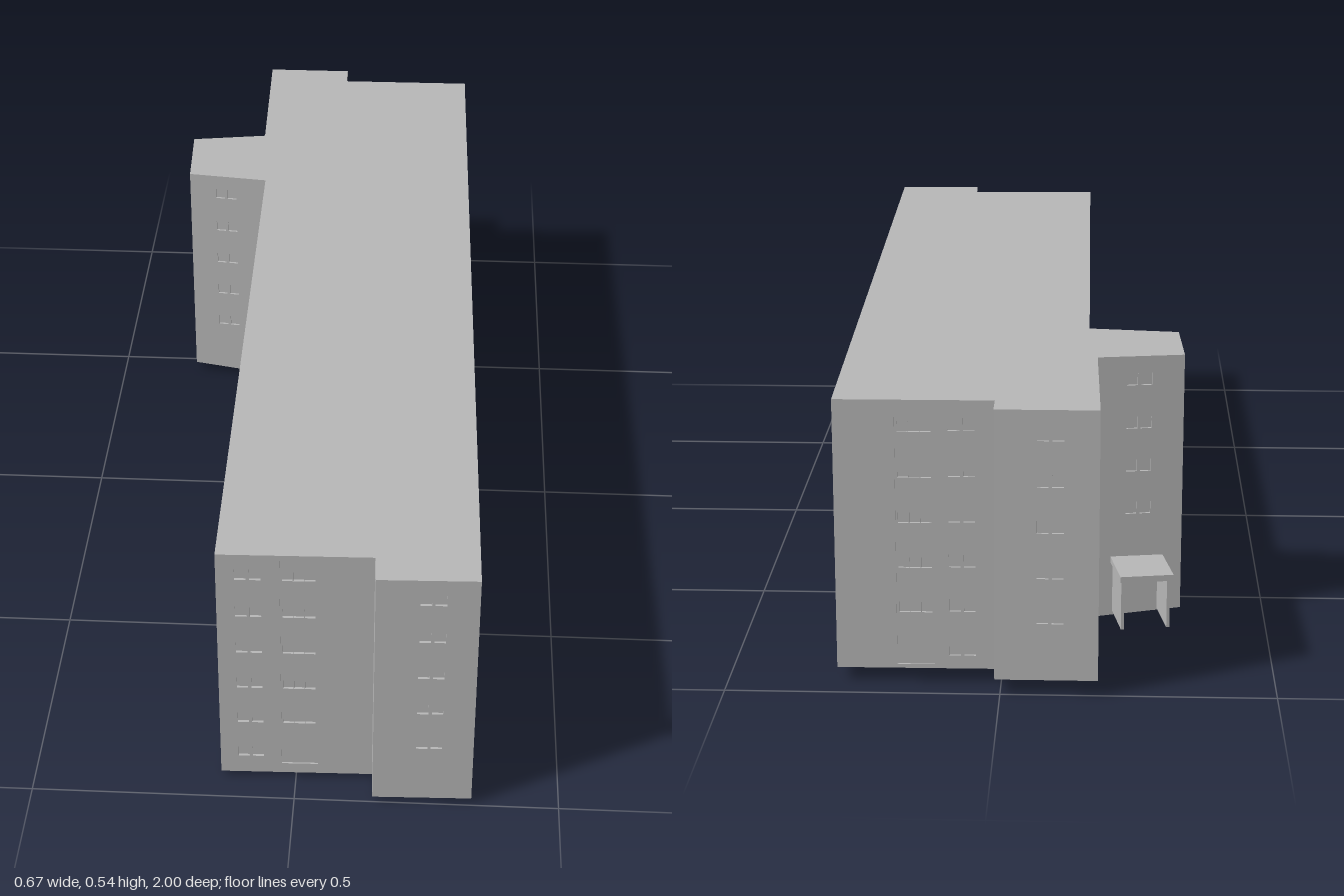
import * as THREE from 'three';
import { mergeGeometries } from 'three/addons/utils/BufferGeometryUtils.js';

const TOP = 0.54;      // roof height
const DEPTH = 0.005;   // window recess
const PITCH = 0.0857;  // storey height

// Wall foot follows gently sloping ground
const footY = (x, z) =>
  0.003 + 0.02 * (z - 0.2) ** 2 + (x < -0.19 ? 0.012 * (-x - 0.15) / 0.18 : 0);

// Footprint corners [x, z], counter-clockwise from the front left
const corners = [
  [-0.143, 0.943], [0.145, 0.937], [0.148, 1], [0.335, 0.995], [0.3, -0.947], [0.01, -0.945],
  [0.01, -1], [-0.177, -1], [-0.17, -0.65], [-0.335, -0.624], [-0.328, -0.455], [-0.153, -0.434],
];

// Opening descriptions: c is the world x or z of the centre
const rows = (n, top, pitch = PITCH) => Array.from({ length: n }, (_, i) => top - i * pitch);
const pairs = (c, n, top = 0.495, pitch) =>
  rows(n, top, pitch).flatMap(y => [-0.0135, 0.0135].map(d => ({ c: c + d, y, w: 0.021, h: 0.024 })));
const triples = c =>
  rows(5, 0.49).flatMap(y => [-0.0205, 0, 0.0205].map(d => ({ c: c + d, y, w: 0.0195, h: 0.02 })));
const wide = cols => cols.flatMap(c => rows(6, 0.5).map(y => ({ c, y, w: 0.058, h: 0.042 })));
const spread = (n, from, to) => Array.from({ length: n }, (_, i) => from + (to - from) * i / (n - 1));
const panel = c => ({ c, y: 0.287, w: 0.069, h: 0.5, windows: triples(c) });

// Walls in footprint order
const walls = [
  { name: 'frontWall', axis: 0, open: [...pairs(-0.085, 6), panel(0.0075)] },
  { name: 'frontStep', axis: 1, open: [] },
  { name: 'frontBayWall', axis: 0, open: pairs(0.252, 5) },
  { name: 'leftLongWall', axis: 1, open: [
    ...wide(spread(4, 0.935, 0.645)), ...pairs(0.51, 4, 0.472, 0.0973), ...wide(spread(14, 0.325, -0.893))] },
  { name: 'backWall', axis: 0, open: [...pairs(0.07, 6), panel(0.155)] },
  { name: 'backStep', axis: 1, open: [] },
  { name: 'backBayWall', axis: 0, open: pairs(-0.09, 5) },
  { name: 'rightShortWall', axis: 1, open: wide([-0.93, -0.825, -0.72]) },
  { name: 'towerBackWall', axis: 0, open: pairs(-0.25, 4) },
  { name: 'towerSideWall', axis: 1, open: pairs(-0.54, 5) },
  { name: 'towerFrontWall', axis: 0, open: pairs(-0.245, 5) },
  { name: 'rightLongWall', axis: 1, open: wide(spread(13, 0.89, -0.345)) },
];

function rectPath(u, y, w, h, Type = THREE.Path) {
  return new Type([[-1, -1], [1, -1], [1, 1], [-1, 1]]
    .map(([a, b]) => new THREE.Vector2(u + a * w / 2, y + b * h / 2)));
}

// Box without its outer face, and optionally without its inner face
function recess(u, y, w, h, z, depth, through = false) {
  const g = new THREE.BoxGeometry(w, h, depth);
  const idx = Array.from(g.index.array);
  // flip so that the inner faces look into the opening
  const keep = idx.slice(0, 24).concat(through ? [] : idx.slice(30));
  for (let i = 0; i < keep.length; i += 3) [keep[i], keep[i + 1]] = [keep[i + 1], keep[i]];
  g.setIndex(keep);
  g.clearGroups();
  const n = g.attributes.normal;
  for (let i = 0; i < n.count; i++) n.setXYZ(i, -n.getX(i), -n.getY(i), -n.getZ(i));
  return g.translate(u, y, z - depth / 2);
}

function wallGeometry(a, b, { axis, open }) {
  const dx = b[0] - a[0], dz = b[1] - a[1], len = Math.hypot(dx, dz);
  const toU = c => (c - a[axis]) / (b[axis] - a[axis]) * len;
  const steps = Math.max(1, Math.round(len / 0.15));
  const pts = [new THREE.Vector2(len, TOP), new THREE.Vector2(0, TOP)];
  for (let i = 0; i <= steps; i++) {
    const t = i / steps;
    pts.push(new THREE.Vector2(t * len, footY(a[0] + dx * t, a[1] + dz * t)));
  }
  const shape = new THREE.Shape(pts);
  const parts = [];
  const cut = (host, o, z) => {
    host.holes.push(rectPath(toU(o.c), o.y, o.w, o.h));
    parts.push(recess(toU(o.c), o.y, o.w, o.h, z, o.windows ? 0.003 : DEPTH, !!o.windows));
  };
  for (const o of open) {
    cut(shape, o, 0);
    if (!o.windows) continue;
    // sunken stair panel with its own windows
    const sheet = rectPath(toU(o.c), o.y, o.w, o.h, THREE.Shape);
    o.windows.forEach(w => cut(sheet, w, -0.003));
    parts.push(new THREE.ShapeGeometry(sheet).translate(0, 0, -0.003));
  }
  parts.push(new THREE.ShapeGeometry(shape));
  const dir = new THREE.Vector3(dx / len, 0, dz / len), up = new THREE.Vector3(0, 1, 0);
  const m = new THREE.Matrix4().makeBasis(dir, up, dir.clone().cross(up)).setPosition(a[0], 0, a[1]);
  return mergeGeometries(parts).applyMatrix4(m);
}

export function createModel() {
  const group = new THREE.Group();
  group.name = 'apartmentBlock';
  const concrete = new THREE.MeshStandardMaterial({ color: 0xb8b8b8, side: THREE.DoubleSide });
  concrete.name = 'concrete grey';
  const add = (name, geometry, parent = group) => {
    const mesh = new THREE.Mesh(geometry, concrete);
    mesh.name = name;
    parent.add(mesh);
    return mesh;
  };

  // Outer walls with recessed windows, open underneath
  walls.forEach((w, i) => add(w.name, wallGeometry(corners[i], corners[(i + 1) % corners.length], w)));

  // Flat roof
  const roof = new THREE.Shape(corners.map(([x, z]) => new THREE.Vector2(x, -z)));
  add('roof', new THREE.ShapeGeometry(roof).rotateX(-Math.PI / 2).translate(0, TOP, 0));

  // Entrance porch behind the tower: canopy and two side walls
  const porch = new THREE.Group();
  porch.name = 'entrancePorch';
  porch.position.set(-0.258, 0, -0.693);
  porch.rotation.y = 0.168;
  add('canopy', new THREE.BoxGeometry(0.102, 0.012, 0.115), porch).position.y = 0.134;
  for (const s of [-1, 1])
    add('porchSide', new THREE.BoxGeometry(0.006, 0.1, 0.1), porch).position.set(s * 0.044, 0.079, 0.005);
  group.add(porch);
  return group;
}
